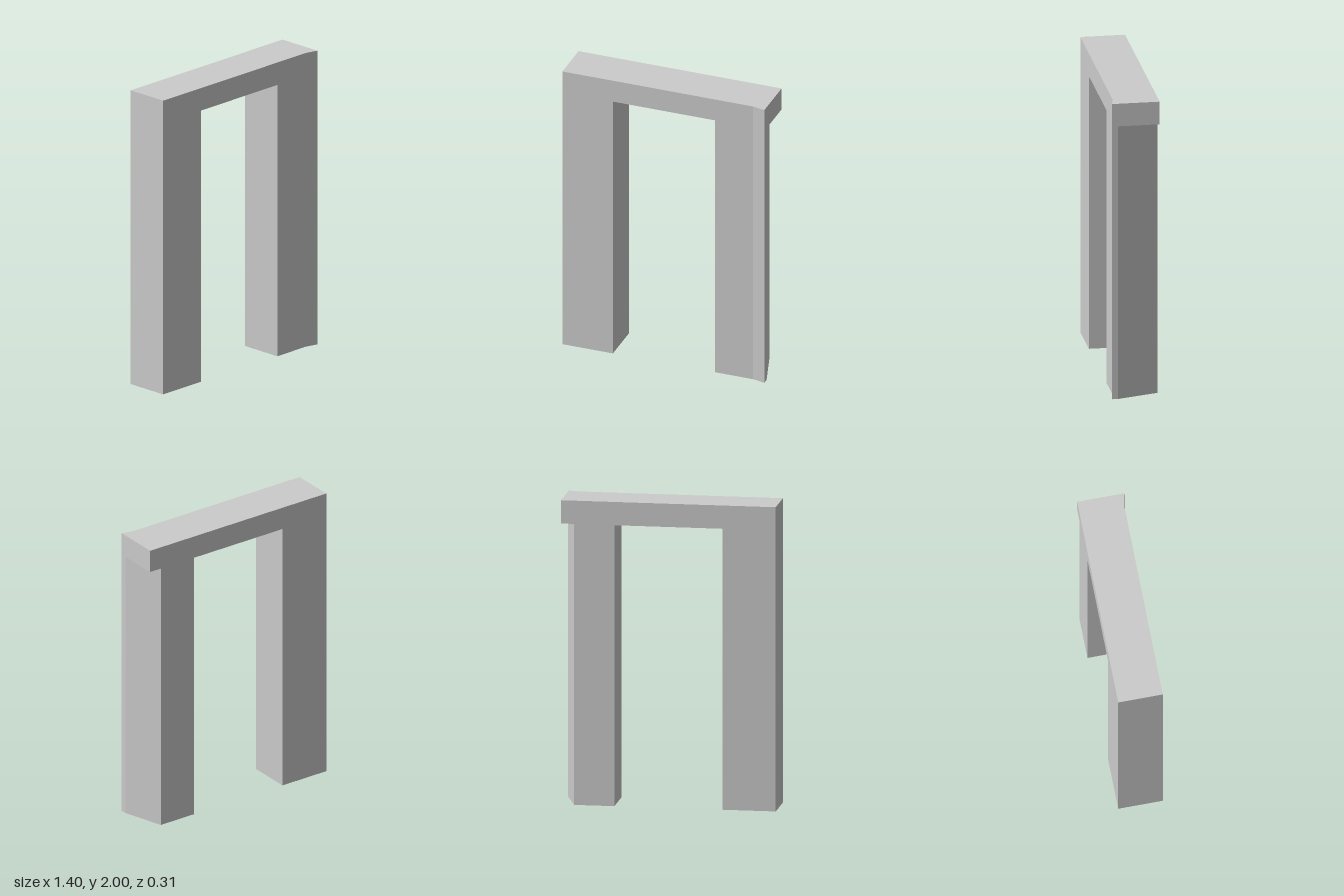
import * as THREE from 'three';

const W = 0.7, INNER = 0.352, KINK = 0.615;   // half width, opening half width, start of flared corner
const BACK = -0.156, FRONT = 0.136, TIP = 0.156;
const TOP = 2, LINTEL = 1.847;

const material = new THREE.MeshStandardMaterial({ color: 0xcccccc, flatShading: true });

// Vertical prism from a floor plan of [x, z] points
function prism(name, plan, y0, y1) {
  const shape = new THREE.Shape(plan.map(([x, z]) => new THREE.Vector2(x, -z)));
  const geometry = new THREE.ExtrudeGeometry(shape, { depth: y1 - y0, bevelEnabled: false });
  geometry.rotateX(-Math.PI / 2).translate(0, y0, 0);
  const mesh = new THREE.Mesh(geometry, material);
  mesh.name = name;
  return mesh;
}

export function createModel() {
  const group = new THREE.Group();
  group.name = 'doorFrame';

  // Plain rectangular post
  group.add(prism('rightPost', [
    [-W, FRONT], [-INNER, FRONT], [-INNER, BACK], [-W, BACK],
  ], 0, LINTEL));

  // Post with a flared front corner and an outer side tapering to the back
  group.add(prism('leftPost', [
    [INNER, FRONT], [KINK, FRONT], [W, TIP], [W, 0.115], [KINK, BACK], [INNER, BACK],
  ], 0, LINTEL));

  // Lintel across both posts, following the flared front corner
  group.add(prism('lintel', [
    [-W, FRONT], [KINK, FRONT], [W, TIP], [W, BACK], [-W, BACK],
  ], LINTEL, TOP));

  return group;
}
